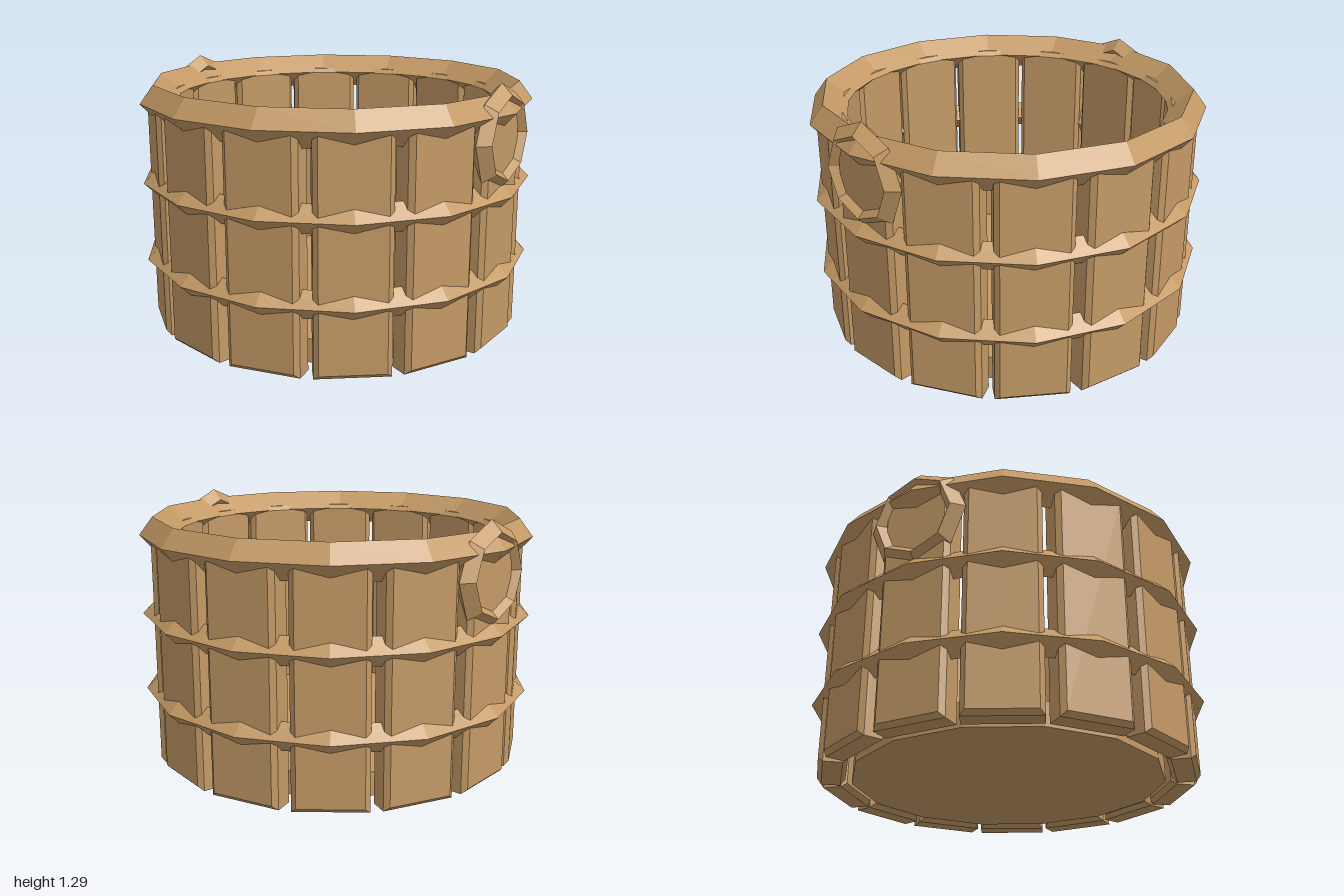
import * as THREE from 'three';

const SIDES = 14;

export function createModel() {
  const tub = new THREE.Group();
  tub.name = 'tub';
  const wood = new THREE.MeshStandardMaterial({ color: 0xc49a66, flatShading: true });

  function add(name, geometry) {
    const mesh = new THREE.Mesh(geometry, wood);
    mesh.name = name;
    tub.add(mesh);
    return mesh;
  }

  // Bevelled plank: width along x, height along y, thickness along z
  function plank(width, height, thickness, bevel) {
    const w = width / 2 - bevel;
    const shape = new THREE.Shape([
      new THREE.Vector2(-w, bevel), new THREE.Vector2(w, bevel),
      new THREE.Vector2(w, height - bevel), new THREE.Vector2(-w, height - bevel),
    ]);
    const geometry = new THREE.ExtrudeGeometry(shape, {
      depth: thickness - 2 * bevel, bevelEnabled: true,
      bevelSize: bevel, bevelThickness: bevel, bevelSegments: 1,
    });
    return geometry.translate(0, 0, bevel);
  }

  // Closed ring with a four-sided section, corners given as [radius, y]
  function ring(name, corners) {
    const points = [...corners, corners[0]].map(([r, y]) => new THREE.Vector2(r, y));
    add(name, new THREE.LatheGeometry(points, SIDES, Math.PI / 2));
  }

  // Staves, one centred on each side of the tub
  const staveShape = plank(0.36, 1.17, 0.14, 0.023).translate(0, 0, 0.805);
  for (let i = 0; i < SIDES; i++) {
    add('stave', staveShape).rotation.y = Math.PI / 2 + (i * 2 * Math.PI) / SIDES;
  }

  // Floor
  add('floor', new THREE.CylinderGeometry(0.79, 0.79, 0.12, SIDES)).position.y = 0.07;

  // Two thin hoops and the heavier rim
  for (const y of [0.35, 0.75]) {
    ring('hoop', [[0.93, y - 0.07], [1, y], [0.93, y + 0.07], [0.86, y]]);
  }
  ring('rim', [[0.92, 1.06], [1, 1.15], [0.932, 1.24], [0.82, 1.15]]);

  // Ring handles on the left and right staves
  const handleShape = new THREE.TorusGeometry(0.202, 0.055, 4, 8).rotateY(Math.PI / 2);
  for (const side of [-1, 1]) {
    add(side > 0 ? 'leftHandle' : 'rightHandle', handleShape).position.set(side * 0.922, 1.03, 0);
  }

  return tub;
}
